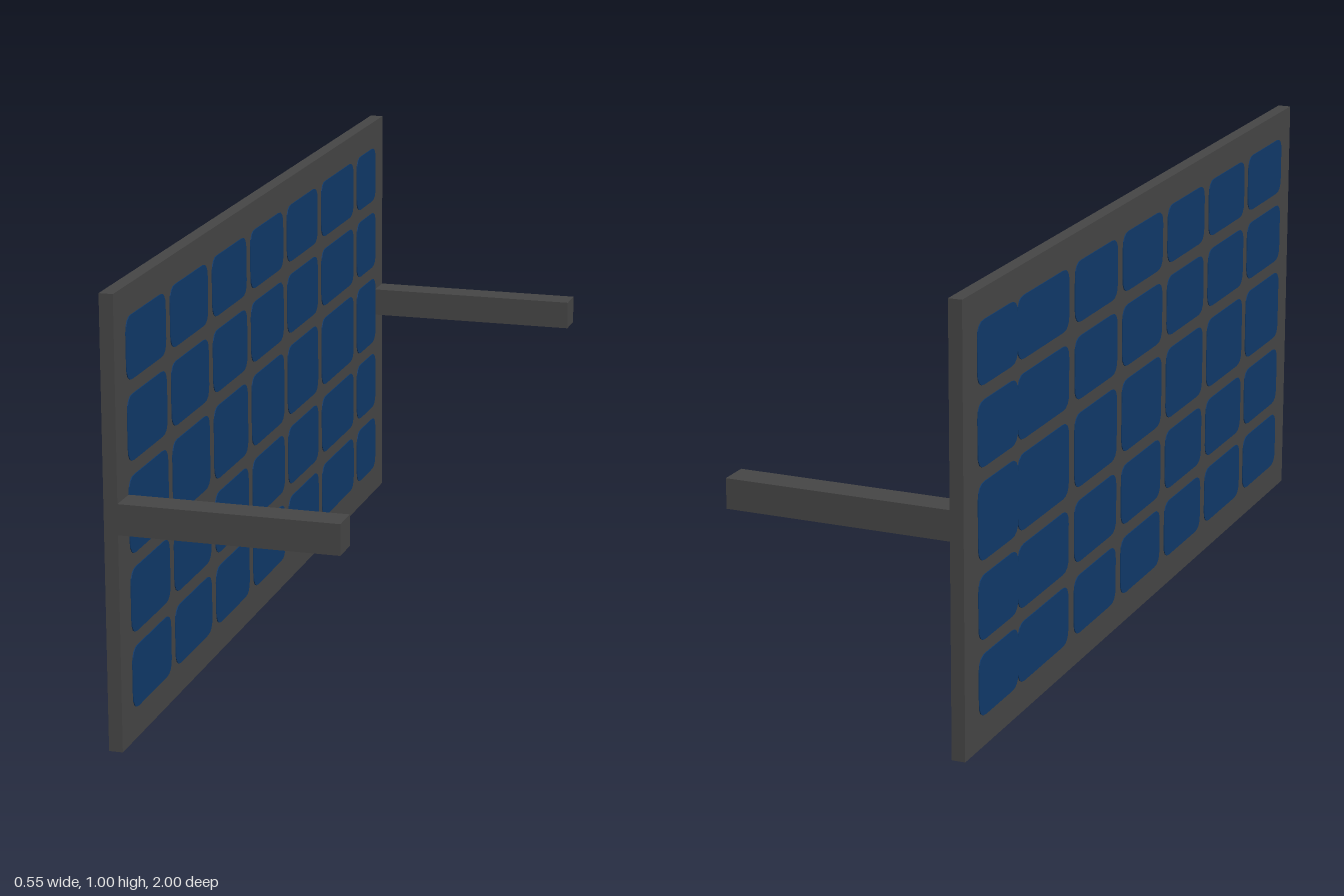
import * as THREE from 'three';

// cell edges: columns along z (per face), rows along y
const SHARED = [[0.69, 0.933], [0.413, 0.66], [0.14, 0.381], [-0.138, 0.108], [-0.416, -0.17], [-0.727, -0.45]];
const FRONT_COLUMNS = [...SHARED, [-0.93, -0.76]];
const BACK_COLUMNS = [...SHARED, [-0.93, -0.727]];
const ROWS = [[0.07, 0.208], [0.24, 0.384], [0.416, 0.587], [0.619, 0.763], [0.795, 0.933]];

const PANEL_BACK = -0.275, PANEL_FRONT = -0.242, PLATE = 0.002;

// box given by its limits on each axis
function box(name, [x0, x1], [y0, y1], [z0, z1], material) {
  const mesh = new THREE.Mesh(new THREE.BoxGeometry(x1 - x0, y1 - y0, z1 - z0), material);
  mesh.position.set((x0 + x1) / 2, (y0 + y1) / 2, (z0 + z1) / 2);
  mesh.name = name;
  return mesh;
}

// rectangle with rounded corners, centred on the origin
function cellShape(w, h, r) {
  const x = w / 2, y = h / 2;
  const s = new THREE.Shape();
  s.moveTo(-x + r, -y);
  s.lineTo(x - r, -y);
  s.quadraticCurveTo(x, -y, x, -y + r);
  s.lineTo(x, y - r);
  s.quadraticCurveTo(x, y, x - r, y);
  s.lineTo(-x + r, y);
  s.quadraticCurveTo(-x, y, -x, y - r);
  s.lineTo(-x, -y + r);
  s.quadraticCurveTo(-x, -y, -x + r, -y);
  return s;
}

// grid of thin cell plates on one face of the panel; side is +1 or -1 in x
function cellGrid(name, columns, faceX, side, material) {
  const grid = new THREE.Group();
  grid.name = name;
  for (const [z0, z1] of columns) {
    for (const [y0, y1] of ROWS) {
      const geometry = new THREE.ExtrudeGeometry(cellShape(z1 - z0, y1 - y0, 0.033),
        { depth: PLATE, bevelEnabled: false, curveSegments: 4 });
      const cell = new THREE.Mesh(geometry, material);
      cell.name = 'solarCell';
      cell.rotation.y = side * Math.PI / 2;
      cell.position.set(faceX, (y0 + y1) / 2, (z0 + z1) / 2);
      grid.add(cell);
    }
  }
  return grid;
}

export function createModel() {
  const frame = new THREE.MeshStandardMaterial({ color: 0x464646 });
  frame.name = 'frameGrey';
  const blue = new THREE.MeshStandardMaterial({ color: 0x103a6a });
  blue.name = 'cellBlue';

  const model = new THREE.Group();
  model.name = 'solarPanel';

  // upright panel with cells on both faces
  model.add(box('panel', [PANEL_BACK + PLATE, PANEL_FRONT], [0, 1], [-1, 1], frame));
  model.add(cellGrid('frontCells', FRONT_COLUMNS, PANEL_FRONT, 1, blue));
  model.add(cellGrid('backCells', BACK_COLUMNS, PANEL_BACK + PLATE, -1, blue));

  // mounting arms, the rear one slightly longer
  const armY = [0.484, 0.552];
  model.add(box('frontArm', [PANEL_FRONT, 0.24], armY, [0.932, 1], frame));
  model.add(box('rearArm', [PANEL_FRONT, 0.275], armY, [-1, -0.932], frame));

  return model;
}
